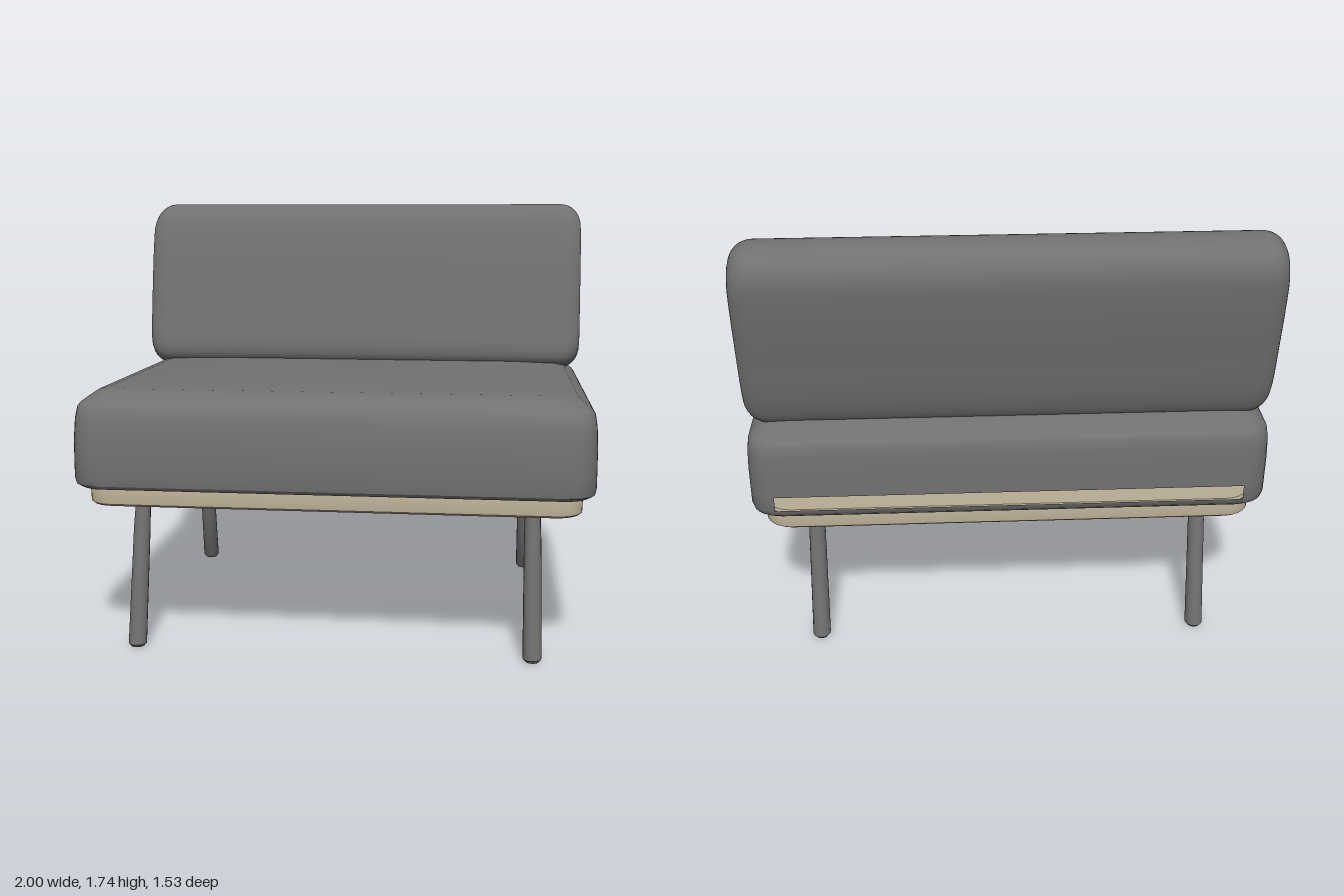
import * as THREE from 'three';
import { toCreasedNormals } from 'three/addons/utils/BufferGeometryUtils.js';

const fabric = new THREE.MeshStandardMaterial({ color: 0x717171, side: THREE.DoubleSide });
fabric.name = 'grey fabric';
const wood = new THREE.MeshStandardMaterial({ color: 0xb8ac94 });
wood.name = 'pale wood';
const metal = new THREE.MeshStandardMaterial({ color: 0x6f6f6f });
metal.name = 'grey metal';

// Skin a list of rings; skip(band, i) leaves a face open
function loft(rings, { capStart = true, capEnd = true, skip = () => false, crease = 0.7 } = {}) {
  const pos = [];
  const tri = (...pts) => pts.forEach((p) => pos.push(p.x, p.y, p.z));
  const n = rings[0].length;
  const cap = (ring, flip) => {
    const c = ring.reduce((s, p) => s.add(p), new THREE.Vector3()).divideScalar(n);
    for (let i = 0; i < n; i++) {
      const a = ring[i], b = ring[(i + 1) % n];
      if (flip) tri(c, a, b); else tri(c, b, a);
    }
  };
  for (let k = 0; k < rings.length - 1; k++) {
    for (let i = 0; i < n; i++) {
      if (skip(k, i)) continue;
      const j = (i + 1) % n, lo = rings[k], up = rings[k + 1];
      tri(lo[i], up[i], up[j]);
      tri(lo[i], up[j], lo[j]);
    }
  }
  if (capStart) cap(rings[0], true);
  if (capEnd) cap(rings[rings.length - 1], false);
  const g = new THREE.BufferGeometry();
  g.setAttribute('position', new THREE.Float32BufferAttribute(pos, 3));
  g.computeVertexNormals();
  return toCreasedNormals(g, crease);
}

// Horizontal rounded rectangle
const SEG = 6;
function slab([y, hx, front, back, r]) {
  const pts = [];
  for (let c = 0; c < 4; c++) {
    const cx = (c === 0 || c === 3 ? 1 : -1) * (hx - r);
    const cz = c < 2 ? front - r : back + r;
    for (let s = 0; s <= SEG; s++) {
      const a = (c + s / SEG) * Math.PI / 2;
      pts.push(new THREE.Vector3(cx + r * Math.cos(a), y, cz + r * Math.sin(a)));
    }
  }
  return pts;
}

function add(parent, name, geometry, material) {
  const mesh = new THREE.Mesh(geometry, material);
  mesh.name = name;
  parent.add(mesh);
  return mesh;
}

export function createModel() {
  const model = new THREE.Group();
  model.name = 'armlessLoungeChair';

  // Seat cushion: hollow cover with a long slot low in the back
  const cushionRings = [
    [0.66, 0.9, 0.67, -0.66, 0.08],
    [0.653, 0.975, 0.745, -0.73, 0.1],
    [0.668, 0.995, 0.762, -0.745, 0.1],
    [0.69, 1.0, 0.765, -0.75, 0.1],
    [0.75, 1.0, 0.765, -0.75, 0.1],
    [0.84, 1.0, 0.762, -0.75, 0.1],
    [0.92, 0.997, 0.75, -0.748, 0.1],
    [0.965, 0.99, 0.737, -0.743, 0.1],
    [0.98, 0.98, 0.722, -0.735, 0.1],
    [1.0, 0.955, 0.69, -0.7, 0.1],
    [1.018, 0.93, 0.66, -0.665, 0.09],
    [1.027, 0.89, 0.62, -0.63, 0.08],
    [1.034, 0.7, 0.42, -0.45, 0.06],
  ].map(slab);
  const backEdge = 3 * (SEG + 1) - 1;
  add(model, 'seatCushion', loft(cushionRings, {
    capStart: false,
    skip: (band, i) => band === 3 && i === backEdge,
  }), fabric);

  // Wooden base board with softened edges
  add(model, 'baseBoard', loft([
    [0.58, 0.945, 0.705, -0.7, 0.1],
    [0.588, 0.953, 0.713, -0.708, 0.1],
    [0.655, 0.955, 0.715, -0.71, 0.1],
    [0.665, 0.95, 0.71, -0.705, 0.1],
  ].map(slab)), wood);

  // Leaning backrest: side profile (z, y) swept across, rounded at both ends
  const profile = new THREE.CatmullRomCurve3([
    [-0.382, 1.06], [-0.405, 1.22], [-0.445, 1.42], [-0.49, 1.6], [-0.535, 1.705],
    [-0.62, 1.743], [-0.715, 1.72], [-0.758, 1.65], [-0.752, 1.52], [-0.715, 1.3],
    [-0.668, 1.08], [-0.625, 1.01], [-0.52, 0.997], [-0.42, 1.012],
  ].map(([z, y]) => new THREE.Vector3(0, y, z)), true).getPoints(56).slice(0, -1);
  const mid = new THREE.Vector3(0, 1.37, -0.57);
  const section = (x, inset) => profile.map((p) => new THREE.Vector3(
    x,
    mid.y + (p.y - mid.y) * (1 - 0.25 * inset),
    mid.z + (p.z - mid.z) * (1 - 0.38 * inset),
  ));
  const ends = [];
  for (let s = 0; s <= 8; s++) {
    const a = (s / 8) * Math.PI / 2;
    ends.push([0.91 + 0.09 * Math.sin(a), 1 - Math.cos(a)]);
  }
  const sections = [
    ...[...ends].reverse().map(([x, t]) => section(-x, t)),
    ...ends.map(([x, t]) => section(x, t)),
  ];
  add(model, 'backrest', loft(sections), fabric);

  // Four legs splayed forwards and backwards, bent near the top
  const legPath = [[0, 0.65, 0.026], [0.012, 0.649, 0.036], [0.3, 0.592, 0.034],
    [0.46, 0.561, 0.033], [0.52, 0.547, 0.031], [0.59, 0.54, 0.03]];
  for (const side of [1, -1]) {
    for (const end of [1, -1]) {
      const rings = legPath.map(([y, z, r]) => Array.from({ length: 16 }, (_, i) => {
        const a = (i / 16) * Math.PI * 2;
        const cz = end * (z - (end < 0 ? 0.01 : 0));
        return new THREE.Vector3(
          side * (0.777 - 0.01 * y) + r * Math.cos(a), y, cz + r * Math.sin(a));
      }));
      add(model, `${end > 0 ? 'front' : 'back'}${side > 0 ? 'Left' : 'Right'}Leg`, loft(rings), metal);
    }
  }
  return model;
}
